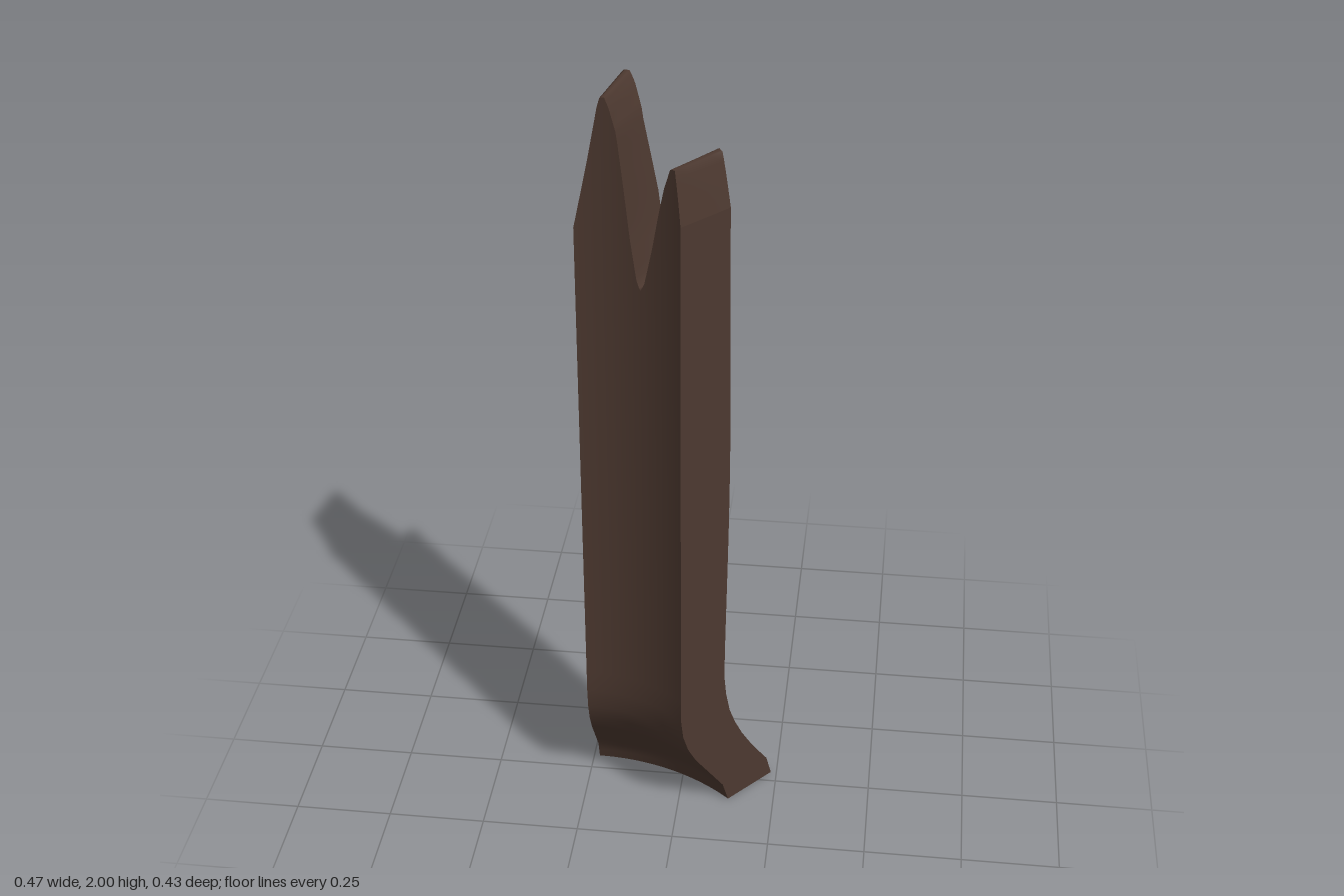
import * as THREE from 'three';

const CX = -0.235, CZ = 0.51;              // centre of the trunk's curve
const SPAN = 40.75;                        // degrees covered by the slab
const COLS = 78;

// piecewise-linear lookup in a list of [position, value] pairs
function lookup(pts, p) {
  for (let i = 1; i < pts.length; i++) {
    const [a, va] = pts[i - 1], [b, vb] = pts[i];
    if (p <= b) return va + (vb - va) * Math.max(0, (p - a) / (b - a));
  }
  return pts[pts.length - 1][1];
}

// height of the splintered top by angle
const TOP = [[0, 1.68], [5, 1.84], [9, 1.98], [10, 2], [11.5, 2], [13, 1.975], [15.3, 1.92], [17.5, 1.8],
  [19.7, 1.67], [22, 1.57], [23.4, 1.545], [25, 1.565], [28.3, 1.66], [31, 1.75], [33.5, 1.82],
  [36.2, 1.87], [38.2, 1.87], [39.5, 1.81], [SPAN, 1.74]];
// radius by height, inside and outside
const INNER = [[0, 0.56], [0.06, 0.54], [0.15, 0.477], [0.2, 0.442], [0.25, 0.415], [0.3, 0.398], [0.36, 0.39], [2, 0.39]];
const OUTER = [[0, 0.713], [0.06, 0.695], [0.13, 0.645], [0.2, 0.603], [0.27, 0.569], [0.33, 0.55], [0.42, 0.54], [2, 0.543]];
// bark ridges: offset from the outer radius at equal angle steps
const BARK = [-0.023, 0.018, -0.006, 0.014, 0.011, -0.007, 0.018, 0.002, -0.012, -0.006, 0.009, 0.011, -0.006, 0.007]
  .map((v, i, all) => [i * SPAN / (all.length - 1), v]);

const ROWS = [0, 0.03, 0.06, 0.1, 0.15, 0.2, 0.25, 0.3, 0.36, 0.42, 0.5];
const UPPER = 16;
const ROW_COUNT = ROWS.length - 1 + UPPER;

const angleAt = (i) => i * SPAN / COLS;
function heightAt(deg, j) {
  if (j < ROWS.length) return ROWS[j];
  return 0.5 + (lookup(TOP, deg) - 0.5) * (j - ROWS.length + 1) / UPPER;
}

function outerRadius(deg, y) {
  const fade = THREE.MathUtils.lerp(1, 0.65, THREE.MathUtils.smoothstep(y, 0.05, 0.45));
  const drift = 0.005 * Math.sin(y * 4.1 + deg * 0.55) * Math.min(1, y * 2);
  return lookup(OUTER, y) + lookup(BARK, deg) * fade + drift;
}

// depth 0 = inner face, 1 = bark face
function point(deg, y, depth) {
  const a = THREE.MathUtils.degToRad(deg);
  const r = THREE.MathUtils.lerp(lookup(INNER, y), outerRadius(deg, y), depth);
  return [CX + r * Math.sin(a), y, CZ - r * Math.cos(a)];
}

// smooth surface patch from a grid of points
function patch(nu, nv, at, flip) {
  const pos = [], idx = [];
  for (let j = 0; j <= nv; j++) for (let i = 0; i <= nu; i++) pos.push(...at(i, j));
  for (let j = 0; j < nv; j++) for (let i = 0; i < nu; i++) {
    const a = j * (nu + 1) + i, b = a + 1, d = a + nu + 1, c = d + 1;
    if (flip) idx.push(a, c, b, a, d, c);
    else idx.push(a, b, c, a, c, d);
  }
  const g = new THREE.BufferGeometry();
  g.setAttribute('position', new THREE.Float32BufferAttribute(pos, 3));
  g.setIndex(idx);
  g.computeVertexNormals();
  return g;
}

export function createModel() {
  const group = new THREE.Group();
  group.name = 'brokenTrunkSlab';
  const wood = new THREE.MeshStandardMaterial({ color: 0x4d3930 });
  wood.name = 'dark brown bark';
  const add = (name, geometry) => {
    const mesh = new THREE.Mesh(geometry, wood);
    mesh.name = name;
    group.add(mesh);
  };

  // curved faces
  const face = (depth) => (i, j) => point(angleAt(i), heightAt(angleAt(i), j), depth);
  add('innerFace', patch(COLS, ROW_COUNT, face(0), false));
  add('barkFace', patch(COLS, ROW_COUNT, face(1), true));

  // splintered top and flat underside
  add('splinteredTop', patch(COLS, 4, (i, j) => point(angleAt(i), lookup(TOP, angleAt(i)), j / 4), false));
  add('underside', patch(COLS, 1, (i, j) => point(angleAt(i), 0, j), true));

  // flat cut ends
  const end = (deg) => (i, j) => point(deg, heightAt(deg, j), i);
  add('leftCutFace', patch(1, ROW_COUNT, end(SPAN), false));
  add('rightCutFace', patch(1, ROW_COUNT, end(0), true));

  return group;
}
